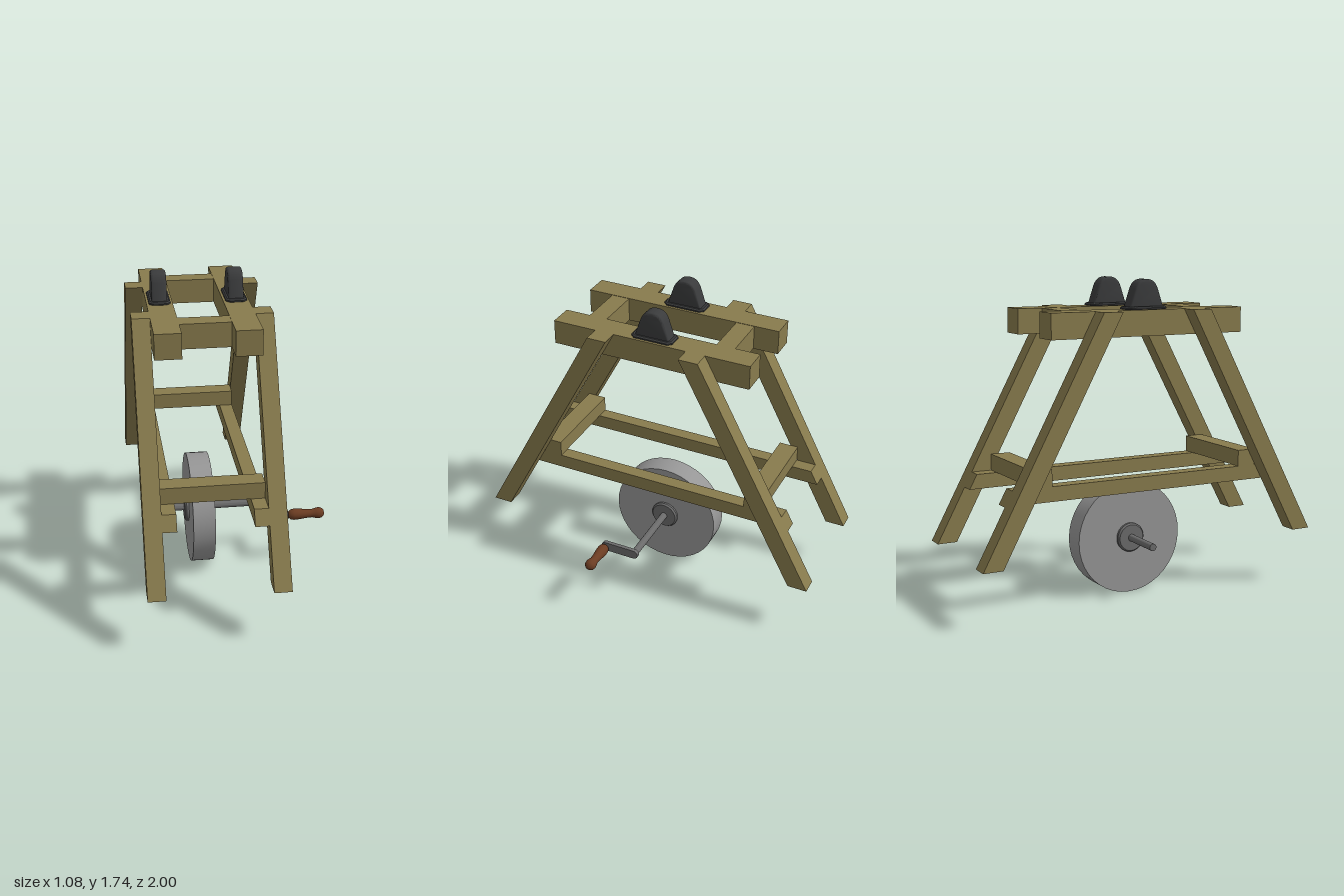
import * as THREE from 'three';
import { toCreasedNormals } from 'three/addons/utils/BufferGeometryUtils.js';

const mat = (name, color) => {
  const m = new THREE.MeshStandardMaterial({ color });
  m.name = name;
  return m;
};

export function createModel() {
  const wood = mat('wood', 0x887b4d);
  const stone = mat('stone', 0x969696);
  const steel = mat('steel', 0x6b6b6b);
  const iron = mat('dark iron', 0x3a3b3c);
  const grip = mat('brown grip', 0x6b3c22);

  const root = new THREE.Group();
  root.name = 'grindstoneStand';

  const add = (name, geometry, material) => {
    const mesh = new THREE.Mesh(geometry, material);
    mesh.name = name;
    root.add(mesh);
    return mesh;
  };

  // box given by its extents
  const box = (name, x0, x1, y0, y1, z0, z1, material = wood) => {
    const g = new THREE.BoxGeometry(x1 - x0, y1 - y0, z1 - z0);
    g.translate((x0 + x1) / 2, (y0 + y1) / 2, (z0 + z1) / 2);
    return add(name, g, material);
  };

  // side profile in (z, y), extruded across x from x0 to x1
  const slab = (shape, x0, x1, bevel = 0) => {
    const g = new THREE.ExtrudeGeometry(shape, {
      depth: x1 - x0 - 2 * bevel, curveSegments: 16,
      bevelEnabled: bevel > 0, bevelSize: bevel, bevelThickness: bevel,
      bevelOffset: -bevel, bevelSegments: 3,
    });
    g.rotateY(-Math.PI / 2);
    g.translate(x1 - bevel, 0, 0);
    return g;
  };
  const poly = (pts) => new THREE.Shape(pts.map(([z, y]) => new THREE.Vector2(z, y)));

  // profile of [radius, x] points turned around the x direction
  const turned = (pts, y, z, crease) => {
    const g = new THREE.LatheGeometry(pts.map(([r, x]) => new THREE.Vector2(r, x)), 40);
    g.rotateZ(-Math.PI / 2);
    g.translate(0, y, z);
    return crease ? toCreasedNormals(g, crease) : g;
  };

  // splayed legs, cut level at both ends
  for (const s of [1, -1]) {
    for (const [x0, x1] of [[-0.54, -0.445], [0.105, 0.2]]) {
      add('leg', slab(poly([[s, 0.32], [s * 0.89, 0.32], [s * 0.21, 1.587], [s * 0.32, 1.587]]), x0, x1), wood);
    }
    // cross pieces joining the two sides
    box('topCrossbar', -0.305, -0.035, 1.45, 1.585, s > 0 ? 0.325 : -0.43, s > 0 ? 0.43 : -0.325);
    box('lowerCrossbar', -0.445, 0.105, 0.7, 0.79, s > 0 ? 0.573 : -0.682, s > 0 ? 0.682 : -0.573);
  }

  // top beams and lower side rails with ends cut along the legs
  for (const [x0, x1] of [[-0.445, -0.305], [-0.035, 0.105]]) box('topBeam', x0, x1, 1.45, 1.587, -0.572, 0.572);
  for (const [x0, x1] of [[-0.445, -0.37], [0.03, 0.105]]) {
    add('sideRail', slab(poly([[-0.839, 0.62], [0.839, 0.62], [0.796, 0.7], [-0.796, 0.7]]), x0, x1), wood);
  }

  // bearing blocks with a rounded top on a thin chamfered foot
  const block = new THREE.Shape();
  block.moveTo(-0.105, 1.585);
  block.lineTo(0.105, 1.585);
  block.lineTo(0.068, 1.695);
  block.bezierCurveTo(0.052, 1.735, 0.03, 1.745, 0, 1.745);
  block.bezierCurveTo(-0.03, 1.745, -0.052, 1.735, -0.068, 1.695);
  block.closePath();
  const c = 0.022;
  for (const x of [-0.375, 0.035]) {
    add('bearingBlock', toCreasedNormals(slab(block, x - 0.041, x + 0.041, 0.012), 0.7), iron);
    const w = 0.058, d = 0.12;
    const foot = new THREE.ExtrudeGeometry(poly([
      [-w + c, -d], [w - c, -d], [w, -d + c], [w, d - c],
      [w - c, d], [-w + c, d], [-w, d - c], [-w, -d + c],
    ]), { depth: 0.007, bevelThickness: 0.007, bevelSize: 0.008, bevelOffset: -0.008, bevelSegments: 1 });
    foot.rotateX(-Math.PI / 2);
    foot.translate(x, 1.589, 0);
    add('bearingFoot', foot, iron);
  }

  // grindstone, hub and axle
  const axleY = 0.317;
  add('grindstone', turned([[0, -0.232], [0.314, -0.232], [0.314, -0.107], [0, -0.107]], axleY, 0, 0.6), stone);
  add('hub', turned([
    [0, -0.255], [0.073, -0.255], [0.081, -0.245], [0.081, -0.095], [0.073, -0.085], [0, -0.085],
  ], axleY, 0, 0.6), steel);
  add('axle', turned([[0, -0.492], [0.02, -0.492], [0.02, 0.31], [0, 0.31]], axleY, 0, 0.6), steel);

  // crank arm with round ends
  const arm = new THREE.Shape();
  const r = 0.027, reach = 0.177;
  arm.absarc(reach, axleY, r, -Math.PI / 2, Math.PI / 2, false);
  arm.absarc(0, axleY, r, Math.PI / 2, Math.PI * 1.5, false);
  add('crankArm', toCreasedNormals(slab(arm, 0.303, 0.325), 0.6), steel);

  // shaped handle
  add('crankHandle', turned([
    [0, 0.325], [0.016, 0.327], [0.028, 0.341], [0.032, 0.36], [0.031, 0.385], [0.027, 0.42],
    [0.024, 0.45], [0.024, 0.468], [0.029, 0.486], [0.032, 0.502], [0.029, 0.52], [0.018, 0.533], [0, 0.537],
  ], axleY, reach), grip);

  return root;
}
